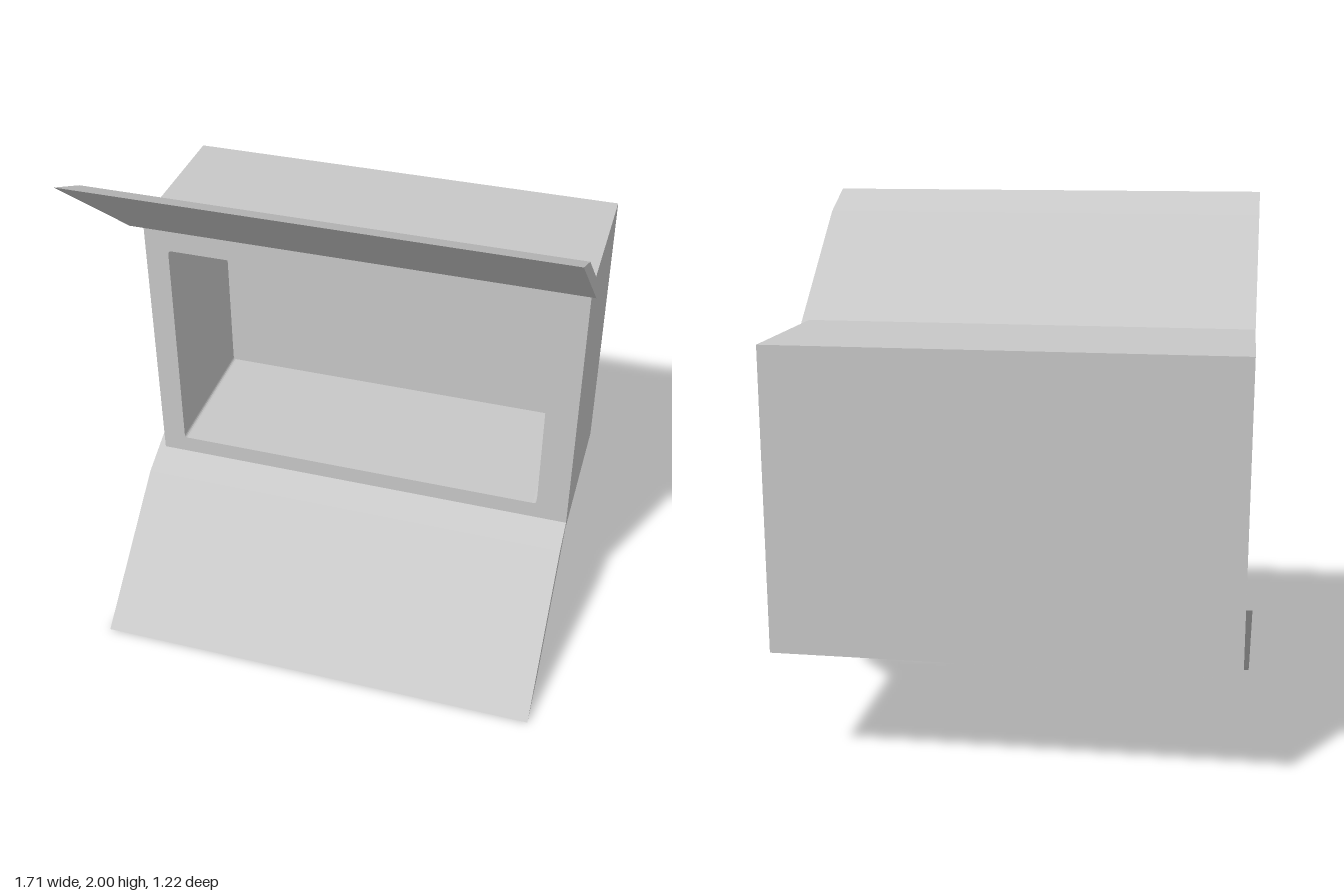
import * as THREE from 'three';

// Rectangle with slightly rounded corners, traced as a path
function roundedRect(path, x0, y0, x1, y1, r) {
  path.moveTo(x0 + r, y0);
  path.lineTo(x1 - r, y0);
  path.quadraticCurveTo(x1, y0, x1, y0 + r);
  path.lineTo(x1, y1 - r);
  path.quadraticCurveTo(x1, y1, x1 - r, y1);
  path.lineTo(x0 + r, y1);
  path.quadraticCurveTo(x0, y1, x0, y1 - r);
  path.lineTo(x0, y0 + r);
  path.quadraticCurveTo(x0, y0, x0 + r, y0);
  return path;
}

export function createModel() {
  const group = new THREE.Group();
  const grey = new THREE.MeshStandardMaterial({ color: 0xc8c8c8 });
  grey.name = 'light grey';

  const add = (name, geometry) => {
    const mesh = new THREE.Mesh(geometry, grey);
    mesh.name = name;
    group.add(mesh);
    return mesh;
  };

  const halfWidth = 0.83, bottom = 0.445, top = 1.545;
  const depth = 0.61, backThickness = 0.04;

  // Box walls around the open compartment
  const outline = new THREE.Shape([
    new THREE.Vector2(-halfWidth, bottom),
    new THREE.Vector2(halfWidth, bottom),
    new THREE.Vector2(halfWidth, top),
    new THREE.Vector2(-halfWidth, top),
  ]);
  outline.holes.push(roundedRect(new THREE.Path(), -0.74, 0.54, 0.71, 1.425, 0.015));
  const walls = new THREE.ExtrudeGeometry(outline, {
    depth: depth - backThickness, bevelEnabled: false, curveSegments: 4,
  });
  add('boxWalls', walls).position.z = backThickness - depth;

  // Back panel closing the compartment
  add('backPanel', new THREE.BoxGeometry(halfWidth * 2, top - bottom, backThickness))
    .position.set(0, (top + bottom) / 2, -depth + backThickness / 2);

  // Two slanted flaps sharing one (z, y) profile, mirrored top to bottom
  const profile = [[-0.06, 1.5], [0.11, 1.58], [0.607, 2], [0.44, 1.92]];
  const addFlap = (name, xMin, xMax, mirrored) => {
    const shape = new THREE.Shape(
      profile.map(([z, y]) => new THREE.Vector2(z, mirrored ? 2 - y : y)));
    const flap = new THREE.ExtrudeGeometry(shape, { depth: xMax - xMin, bevelEnabled: false });
    flap.rotateY(-Math.PI / 2);
    flap.translate(xMax, 0, 0);
    add(name, flap);
  };
  addFlap('upperFlap', -0.83, 0.857, false);
  addFlap('lowerFlap', -0.857, 0.83, true);

  return group;
}
